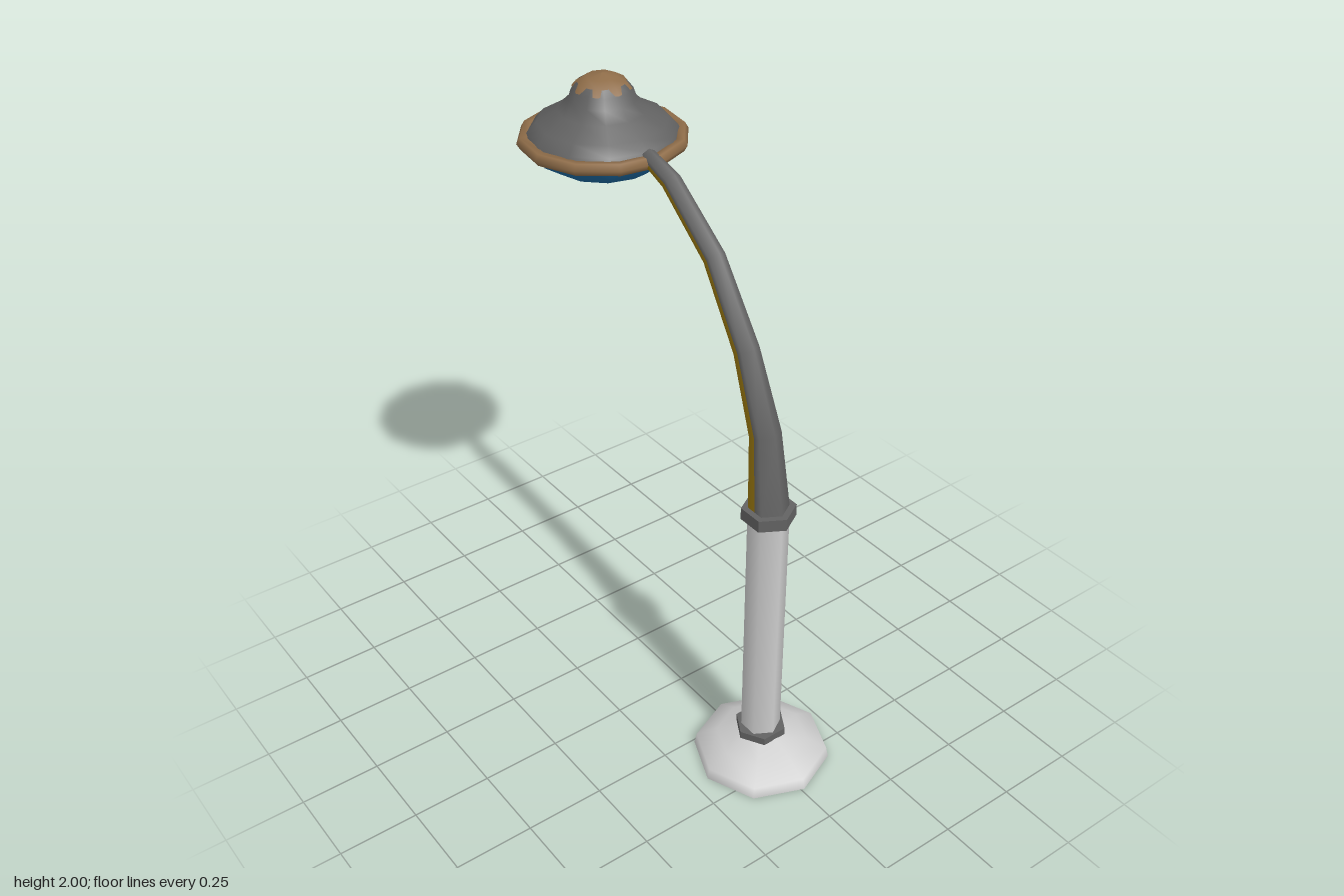
import * as THREE from 'three';

const mat = (color, flatShading = false) =>
  new THREE.MeshStandardMaterial({ color, flatShading, side: THREE.DoubleSide });
const GREY = 0xcccccc, DARK = 0x626262, BROWN = 0x8f6d49, YELLOW = 0x9a7810, BLUE = 0x1c689f;

const POLE_X = 0.405, POLE_Z = -0.007, LAMP_X = -0.372;

// Turned part from a [radius, y] profile
function turned(name, profile, sides, phi, material, x, z) {
  const points = profile.map(([r, y]) => new THREE.Vector2(r, y));
  const mesh = new THREE.Mesh(new THREE.LatheGeometry(points, sides, phi), material);
  mesh.name = name;
  mesh.position.set(x, 0, z);
  return mesh;
}

// Open ring with a square section
function collar(name, inner, outer, y0, y1, phi) {
  const profile = [[inner, y0], [outer, y0], [outer, y1], [inner, y1]];
  return turned(name, profile, 6, phi, mat(DARK, true), POLE_X, POLE_Z);
}

// Strip swept along [x, y, radius] stations; the section is given as [outward, z]
function sweep(name, stations, section, color) {
  const pos = [], index = [], n = section.length;
  stations.forEach(([x, y, r], i) => {
    const a = stations[Math.max(i - 1, 0)];
    const b = stations[Math.min(i + 1, stations.length - 1)];
    const t = new THREE.Vector2(b[0] - a[0], b[1] - a[1]).normalize();
    section.forEach(([u, v], j) => {
      pos.push(x + t.y * u * r, y - t.x * u * r, POLE_Z + v * r);
      if (i && j) {
        const p = (i - 1) * n + j - 1, q = p + n;
        index.push(p, q, p + 1, p + 1, q, q + 1);
      }
    });
  });
  const geo = new THREE.BufferGeometry();
  geo.setAttribute('position', new THREE.Float32BufferAttribute(pos, 3));
  geo.setIndex(index);
  geo.computeVertexNormals();
  const mesh = new THREE.Mesh(geo, mat(color));
  mesh.name = name;
  return mesh;
}

export function createModel() {
  const model = new THREE.Group();
  model.name = 'streetLamp';

  // Hollow foot, pole and its two collars
  model.add(
    turned('base', [[0.212, 0], [0.205, 0.035], [0.14, 0.07], [0.065, 0.098]], 8, 0, mat(GREY), 0.408, -0.01),
    turned('pole', [[0.061, 0.09], [0.061, 0.94]], 6, Math.PI / 2, mat(GREY), POLE_X, POLE_Z),
    collar('lowerCollar', 0.05, 0.08, 0.095, 0.12, 0),
    collar('upperCollar', 0.05, 0.08, 0.92, 0.958, Math.PI / 2)
  );

  // Tapering curved arm: dark outer half, yellow inner half
  const stations = [
    [0.405, 0.95, 0.06], [0.378, 1.19, 0.046], [0.287, 1.415, 0.037], [0.14, 1.635, 0.032],
    [-0.055, 1.787, 0.029], [-0.165, 1.823, 0.024], [-0.168, 1.824, 0]
  ];
  const h = Math.sqrt(3) / 2;
  const half = [[0, -h], [0.5, -h], [1, 0], [0.5, h], [0, h]];
  model.add(
    sweep('armOuter', stations, half, DARK),
    sweep('armInner', stations, half.map(([u, v]) => [-u, -v]), YELLOW)
  );

  // Lamp head: glass, rim, hood and cap
  const head = new THREE.Group();
  head.name = 'lampHead';
  const rim = new THREE.Mesh(new THREE.TorusGeometry(0.23, 0.02, 6, 12), mat(BROWN));
  rim.name = 'rim';
  rim.rotation.set(Math.PI / 2, 0, -THREE.MathUtils.degToRad(7));
  rim.position.set(LAMP_X, 1.811, 0);
  head.add(
    rim,
    turned('glass', [[0, 1.711], [0.08, 1.716], [0.15, 1.733], [0.2, 1.765], [0.222, 1.81]], 12, 0, mat(BLUE), LAMP_X, 0),
    turned('hood', [[0.225, 1.815], [0.215, 1.835], [0.19, 1.862], [0.13, 1.895], [0.098, 1.925], [0.088, 1.955], [0.07, 1.975]], 12, 0, mat(DARK), LAMP_X, 0),
    turned('cap', [[0.087, 1.958], [0.073, 1.975], [0.045, 1.991], [0, 2]], 8, 0, mat(BROWN), LAMP_X, 0)
  );
  model.add(head);
  return model;
}
